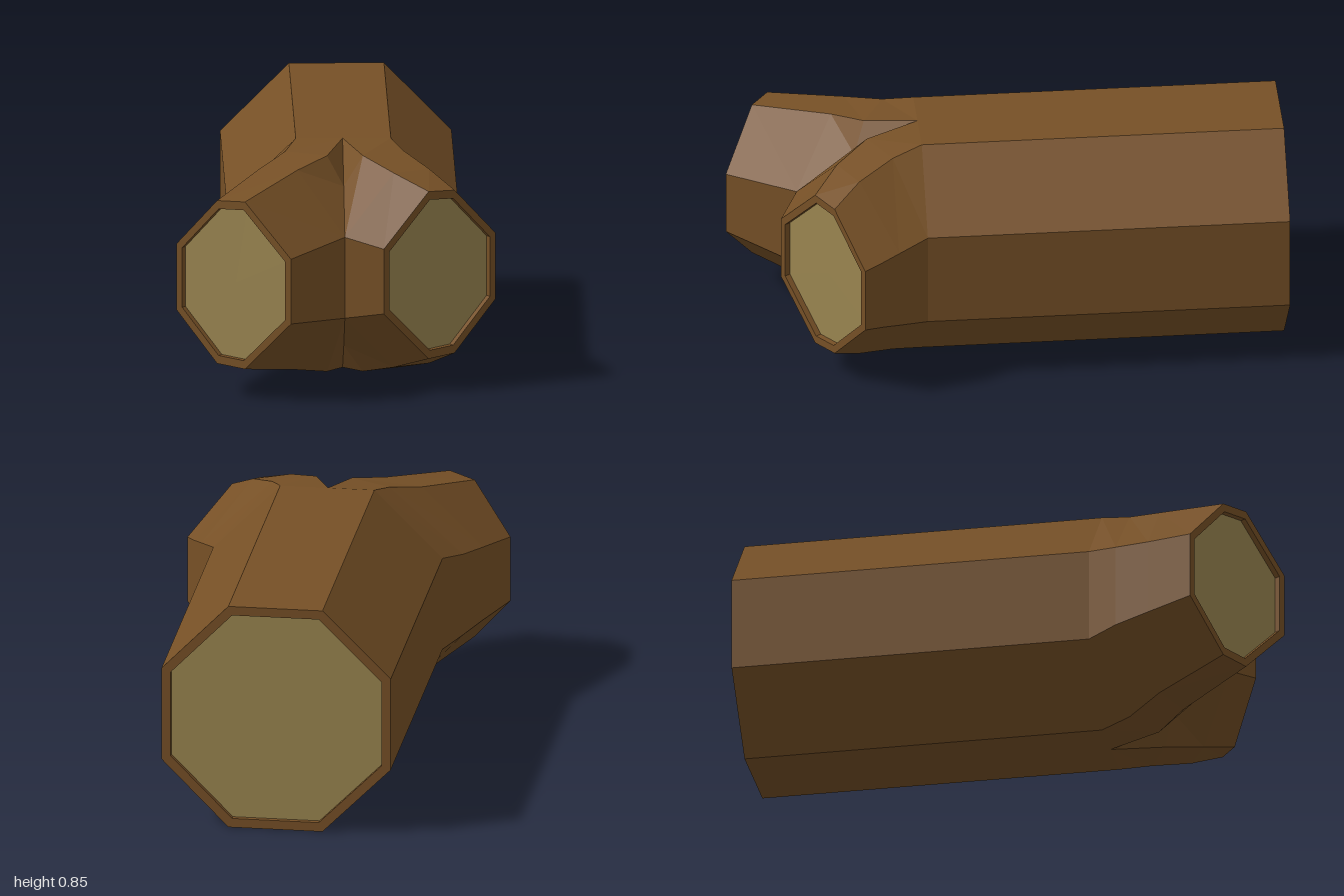
import * as THREE from 'three';

const MID_Y = 0.425;
const bark = new THREE.MeshStandardMaterial({ color: 0x765026 });
bark.name = 'bark';
const cutWood = new THREE.MeshStandardMaterial({ color: 0x9a8550 });
cutWood.name = 'cut wood';

const vec = (p) => new THREE.Vector3(...p);

// Completes an eight-sided ring from its upper half, mirrored about mid height
function ring(upper) {
  const lower = upper.map(([x, y, z]) => [x, 2 * MID_Y - y, z]).reverse();
  return [...upper, ...lower].map(vec);
}

// Flat-faced mesh from a list of triangle corners
function facets(name, corners, material) {
  const geometry = new THREE.BufferGeometry().setFromPoints(corners);
  geometry.computeVertexNormals();
  const mesh = new THREE.Mesh(geometry, material);
  mesh.name = name;
  return mesh;
}

// Joins consecutive rings; skip(row, side) leaves a face open
function skin(name, rings, skip = () => false) {
  const corners = [];
  for (let i = 0; i < rings.length - 1; i++) {
    const n = rings[i].length;
    for (let j = 0; j < n; j++) {
      if (skip(i, j)) continue;
      const k = (j + 1) % n;
      const a = rings[i][j], b = rings[i][k], c = rings[i + 1][k], d = rings[i + 1][j];
      corners.push(a, b, c, a, c, d);
    }
  }
  return facets(name, corners, bark);
}

// Sawn end: bark rim around a slightly recessed wood face
function sawnEnd(name, edge, scale, depth) {
  const n = edge.length;
  const center = edge.reduce((s, p) => s.add(p), new THREE.Vector3()).divideScalar(n);
  const normal = edge[0].clone().sub(center).cross(edge[2].clone().sub(center)).normalize();
  const inner = edge.map((p) => p.clone().sub(center).multiplyScalar(scale).add(center));
  const floor = inner.map((p) => p.clone().addScaledVector(normal, -depth));
  const hub = center.clone().addScaledVector(normal, -depth);
  const fan = floor.flatMap((p, j) => [hub, p, floor[(j + 1) % n]]);
  const group = new THREE.Group();
  group.name = name;
  group.add(skin(name + 'Rim', [edge, inner, floor]), facets(name + 'Wood', fan, cutWood));
  return group;
}

export function createModel() {
  const model = new THREE.Group();
  model.name = 'forkedLog';

  // Straight trunk
  const trunkRing = (z) => ring([[0.45, 0.6, z], [0.205, 0.85, z], [-0.14, 0.85, z], [-0.39, 0.6, z]]);
  const back = trunkRing(-1);
  model.add(skin('trunk', [back, trunkRing(0.32)]));
  model.add(sawnEnd('trunkEnd', [...back].reverse(), 0.92, 0.02));

  // Branch sections: outer side, outer top, inner top, crotch side
  const fork = [0.03, 0.85, 0.32], valley = [0.03, 0.72, 0.55], crotch = [0.03, 0.575, 0.76];
  const leftRings = [
    [[0.45, 0.6, 0.32], [0.205, 0.85, 0.32], fork, fork],
    [[0.51, 0.575, 0.43], [0.25, 0.825, 0.43], [0.1, 0.825, 0.51], valley],
    [[0.545, 0.56, 0.495], [0.34, 0.785, 0.56], [0.21, 0.785, 0.63], crotch],
    [[0.58, 0.548, 0.56], [0.43, 0.727, 0.658], [0.335, 0.735, 0.72], [0.17, 0.545, 0.83]],
  ].map(ring);
  const rightRings = [
    [[-0.39, 0.6, 0.32], [-0.14, 0.85, 0.32], fork, fork],
    [[-0.45, 0.58, 0.43], [-0.18, 0.825, 0.43], [-0.03, 0.825, 0.51], valley],
    [[-0.505, 0.565, 0.56], [-0.28, 0.785, 0.56], [-0.14, 0.795, 0.62], crotch],
    [[-0.58, 0.548, 0.73], [-0.435, 0.727, 0.825], [-0.335, 0.735, 0.89], [-0.17, 0.545, 1.0]],
  ].map((upper) => ring(upper).reverse());

  // The two branches share the crotch, so no wall is built inside it
  const insideFork = (row, side) => row < 2 && side === 3;
  for (const [name, rings] of [['leftBranch', leftRings], ['rightBranch', rightRings]]) {
    model.add(skin(name, rings, insideFork));
    model.add(sawnEnd(name + 'End', rings[3], 0.9, 0.022));
  }
  return model;
}
